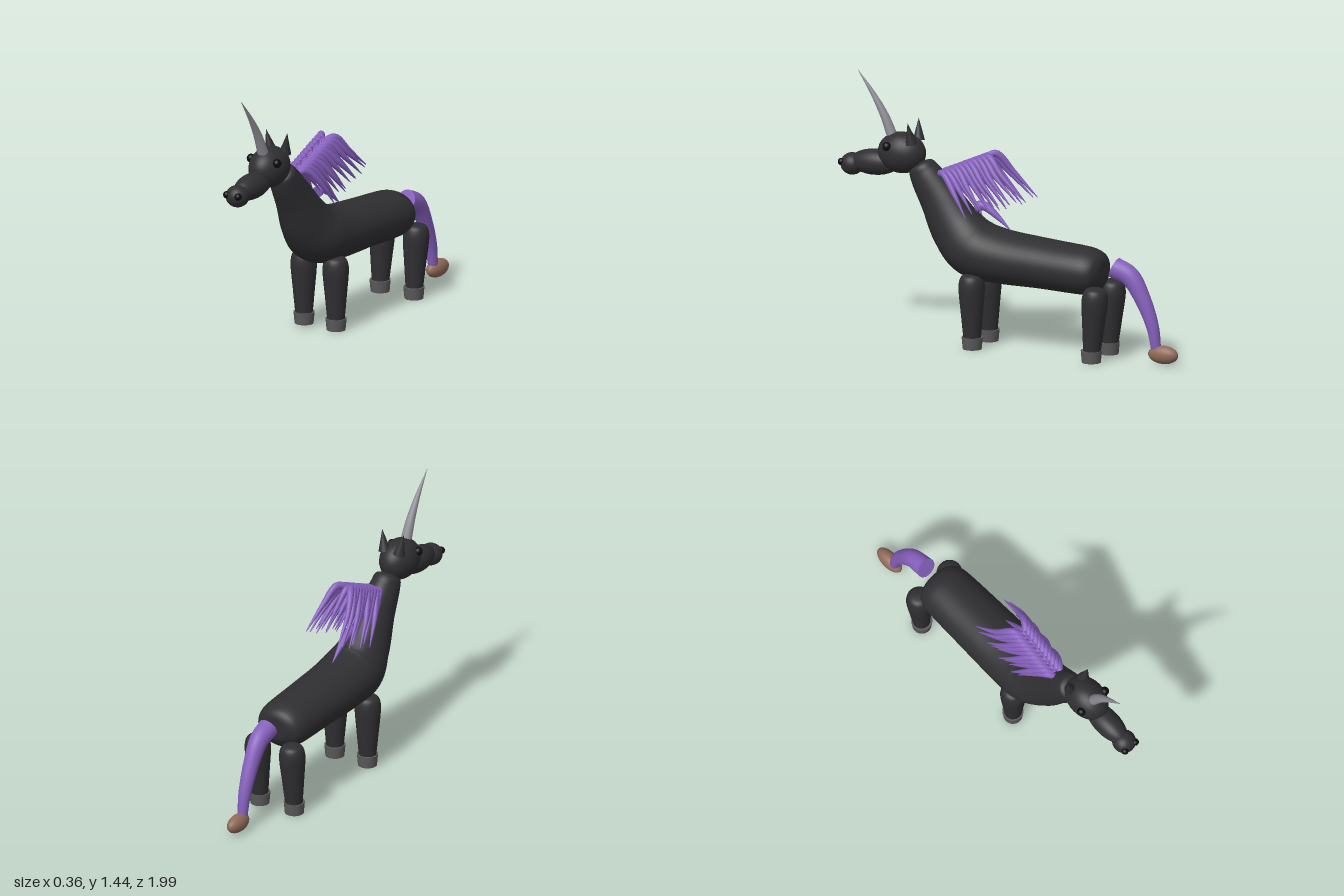
import * as THREE from 'three';

const mat = (color) => new THREE.MeshStandardMaterial({ color, side: THREE.DoubleSide });
const V = (x, y, z) => new THREE.Vector3(x, y, z);

// Smooth skin over elliptical rings. Each ring: [x, y, z, half width, half height].
function sweep(rings, steps, sides) {
  const path = new THREE.CatmullRomCurve3(rings.map((r) => V(r[0], r[1], r[2])), false, 'centripetal');
  const size = new THREE.CatmullRomCurve3(rings.map((r) => V(r[3], r[4], 0)), false, 'catmullrom', 0.5);
  const pos = [], index = [], side = V(), up = V();
  for (let i = 0; i <= steps; i++) {
    const t = i / steps, p = path.getPoint(t), s = size.getPoint(t), dir = path.getTangent(t);
    side.set(1, 0, 0).addScaledVector(dir, -dir.x).normalize();
    up.crossVectors(dir, side);
    for (let j = 0; j < sides; j++) {
      const a = (j / sides) * Math.PI * 2;
      const q = p.clone()
        .addScaledVector(side, Math.cos(a) * Math.max(s.x, 0))
        .addScaledVector(up, Math.sin(a) * Math.max(s.y, 0));
      pos.push(q.x, q.y, q.z);
      if (i < steps) {
        const k = i * sides + j, n = i * sides + ((j + 1) % sides);
        index.push(k, n, k + sides, n, n + sides, k + sides);
      }
    }
  }
  // Flat cap on the first ring
  const c = pos.length / 3;
  for (let j = 0; j < sides; j++) pos.push(...pos.slice(j * 3, j * 3 + 3));
  pos.push(rings[0][0], rings[0][1], rings[0][2]);
  for (let j = 0; j < sides; j++) index.push(c + sides, c + ((j + 1) % sides), c + j);
  const g = new THREE.BufferGeometry();
  g.setAttribute('position', new THREE.Float32BufferAttribute(pos, 3));
  g.setIndex(index);
  g.computeVertexNormals();
  return g;
}

export function createModel() {
  const root = new THREE.Group();
  const coat = mat(0x2f2f32), black = mat(0x0c0c0e), hoofMat = mat(0x5a5a5a);
  const purple = mat(0x8660bd), brown = mat(0x8f6a58), grey = mat(0x8e8c94);

  function add(name, geometry, material, x = 0, y = 0, z = 0, parent = root) {
    const m = new THREE.Mesh(geometry, material);
    m.name = name;
    m.position.set(x, y, z);
    parent.add(m);
    return m;
  }
  const ball = (name, material, r, x, y, z) => {
    const m = add(name, new THREE.SphereGeometry(1, 32, 20), material, x, y, z);
    m.scale.set(...r);
    return m;
  };

  // Body running from rump to the top of the neck
  add('bodyAndNeck', sweep([
    [0, 0.465, -0.566, 0, 0],
    [0, 0.465, -0.562, 0.07, 0.06],
    [0, 0.467, -0.535, 0.125, 0.105],
    [0, 0.47, -0.47, 0.15, 0.128],
    [0, 0.485, -0.2, 0.16, 0.135],
    [0, 0.5, 0.05, 0.166, 0.147],
    [0, 0.53, 0.2, 0.165, 0.16],
    [0, 0.62, 0.3, 0.13, 0.148],
    [0, 0.77, 0.4, 0.098, 0.117],
    [0, 0.9, 0.49, 0.08, 0.09],
    [0, 0.95, 0.52, 0.066, 0.066],
    [0, 0.968, 0.532, 0, 0],
  ], 90, 40), coat);

  // Head
  ball('head', coat, [0.1, 0.112, 0.135], 0, 1.008, 0.632);
  ball('muzzle', coat, [0.07, 0.07, 0.145], 0, 0.94, 0.79).rotation.x = 0.04;
  ball('nose', coat, [0.064, 0.06, 0.064], 0, 0.917, 0.925);

  // Horn curving forward
  add('horn', sweep([
    [0, 1.09, 0.688, 0.031, 0.029],
    [0, 1.2, 0.735, 0.024, 0.023],
    [0, 1.31, 0.8, 0.014, 0.014],
    [0, 1.435, 0.892, 0.001, 0.001],
  ], 24, 20), grey);

  for (const s of [1, -1]) {
    ball('eye', black, [0.023, 0.024, 0.024], s * 0.085, 1.053, 0.682);
    ball('nostril', black, [0.02, 0.02, 0.02], s * 0.037, 0.93, 0.972);
    const ear = add('ear', new THREE.ConeGeometry(0.033, 0.12, 20), coat, s * 0.058, 1.132, 0.56);
    ear.rotation.set(0.1, 0, -s * 0.2);
  }

  // Legs: tapered with a rounded top, each on a hoof
  const legGeo = new THREE.LatheGeometry(new THREE.SplineCurve([
    [0, 0.04], [0.043, 0.045], [0.049, 0.08], [0.06, 0.2], [0.07, 0.31],
    [0.069, 0.36], [0.058, 0.393], [0.035, 0.408], [0, 0.412],
  ].map(([r, y]) => new THREE.Vector2(r, y))).getPoints(40), 28);
  const hoofGeo = new THREE.CylinderGeometry(0.057, 0.051, 0.065, 28);
  for (const [name, x, z, lean] of [['front', 0.105, 0.167, 0.01], ['hind', 0.111, -0.54, -0.06]]) {
    for (const s of [1, -1]) {
      const leg = new THREE.Group();
      leg.name = name + 'Leg';
      leg.position.set(s * x, 0, z);
      add('limb', legGeo, coat, 0, 0, 0, leg).rotation.x = lean;
      add('hoof', hoofGeo, hoofMat, 0, 0.0325, 0, leg);
      root.add(leg);
    }
  }

  // Tail with a tuft
  add('tail', sweep([
    [0, 0.505, -0.625, 0.056, 0.058],
    [0, 0.465, -0.715, 0.05, 0.054],
    [0, 0.35, -0.79, 0.042, 0.044],
    [0, 0.2, -0.85, 0.034, 0.034],
    [0, 0.07, -0.872, 0.026, 0.026],
  ], 30, 24), purple);
  ball('tailTuft', brown, [0.042, 0.05, 0.087], 0, 0.055, -0.912);

  // Mane: rows of tapering locks falling back to either side
  const mane = new THREE.Group();
  mane.name = 'mane';
  root.add(mane);
  const rows = 11;
  for (let i = 0; i < rows; i++) {
    const t = i / (rows - 1);
    const z = 0.4 - 0.27 * t, y = 0.915 + 0.12 * t;
    for (const s of [1, -1]) {
      const out = 0.1 + 0.012 * Math.sin(i * 2.3 + s);
      const drop = (s > 0 ? 0.19 : 0.225) + 0.012 * Math.cos(i * 1.7);
      add('lock', sweep([
        [s * 0.012, y, z + 0.01, 0.017, 0.017],
        [s * 0.045, y + 0.012, z - 0.035, 0.02, 0.02],
        [s * out * 0.85, y - drop * 0.4, z - 0.12, 0.014, 0.014],
        [s * out * 1.08, y - drop, z - 0.2 - 0.05 * t, 0.002, 0.002],
      ], 14, 10), purple, 0, 0, 0, mane);
    }
    // Shorter locks along the middle
    if (i % 2) add('lock', sweep([
      [0, y - 0.01, z + 0.01, 0.016, 0.016],
      [0, y + 0.008, z - 0.03, 0.018, 0.018],
      [0.012, y - 0.07, z - 0.1, 0.012, 0.012],
      [0.02, y - 0.16, z - 0.18, 0.002, 0.002],
    ], 14, 10), purple, 0, 0, 0, mane);
  }
  add('lowestLock', sweep([
    [0, 0.755, 0.19, 0.03, 0.03],
    [0, 0.765, 0.15, 0.026, 0.026],
    [0, 0.715, 0.07, 0.016, 0.016],
    [0, 0.645, -0.01, 0.002, 0.002],
  ], 14, 12), purple, 0, 0, 0, mane);

  return root;
}
